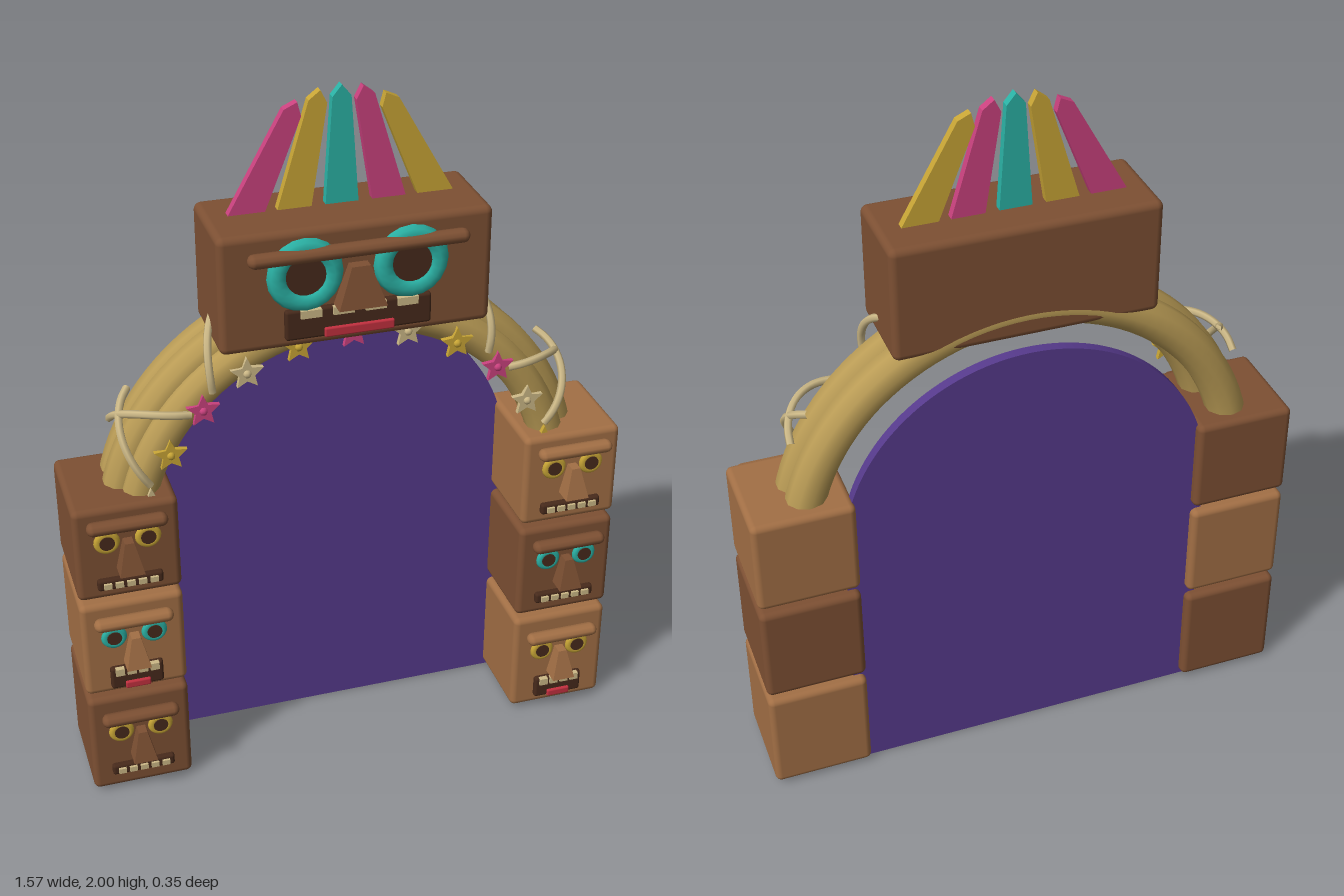
import * as THREE from 'three';
import { RoundedBoxGeometry } from 'three/addons/geometries/RoundedBoxGeometry.js';

const mat = (name, color) => new THREE.MeshStandardMaterial({ name, color });

export function createModel() {
  const M = {
    dark: mat('darkWood', 0x7d5033),
    light: mat('lightWood', 0xa26f45),
    hollow: mat('hollowBrown', 0x472a1b),
    teal: mat('teal', 0x2bb3a6),
    yellow: mat('yellow', 0xc9a636),
    pink: mat('pink', 0xcb427f),
    purple: mat('purple', 0x563a8c),
    vine: mat('vine', 0xb99b55),
    bone: mat('bone', 0xcdb987),
    red: mat('red', 0xc2303f),
  };
  const root = new THREE.Group();
  root.name = 'totemGate';

  const add = (parent, name, geo, material, x = 0, y = 0, z = 0) => {
    const m = new THREE.Mesh(geo, material);
    m.name = name;
    m.position.set(x, y, z);
    parent.add(m);
    return m;
  };
  const rbox = (w, h, d, r) => new RoundedBoxGeometry(w, h, d, 3, r);
  const extrude = (shape, depth, curveSegments = 12) =>
    new THREE.ExtrudeGeometry(shape, { depth, bevelEnabled: false, curveSegments });

  // Rounded bar lying along x
  const bar = (len, r) => new THREE.CapsuleGeometry(r, len - 2 * r, 4, 10).rotateZ(Math.PI / 2);

  // Wedge nose: narrow and shallow at the top, wide and deep at the bottom
  const noseGeo = (topW, botW, h, depth) => {
    const g = new THREE.BoxGeometry(1, h, 1);
    const p = g.attributes.position;
    for (let i = 0; i < p.count; i++) {
      const top = p.getY(i) > 0;
      p.setX(i, p.getX(i) * (top ? topW : botW));
      p.setZ(i, p.getZ(i) > 0 ? depth * (top ? 0.6 : 1) : -0.01);
    }
    const flat = g.toNonIndexed();
    flat.computeVertexNormals();
    return flat;
  };

  // Ring eye with a dark pupil
  const eye = (parent, x, y, z, r, tube, material) => {
    add(parent, 'eyeRing', new THREE.TorusGeometry(r - tube, tube, 8, 20), material, x, y, z).scale.z = 0.75;
    const pupil = new THREE.CylinderGeometry(r * 0.58, r * 0.58, 0.012, 16).rotateX(Math.PI / 2);
    add(parent, 'pupil', pupil, M.hollow, x, y, z + 0.004);
  };

  // Mouth with a row of upper teeth, and a tongue when open
  const mouth = (parent, y, z, w, h, teeth, toothW, toothH, open) => {
    add(parent, 'mouth', rbox(w, h, 0.03, 0.008), M.hollow, 0, y, z);
    const pitch = (w * 0.88) / teeth;
    for (let i = 0; i < teeth; i++) {
      add(parent, 'tooth', new THREE.BoxGeometry(toothW, toothH, 0.015), M.bone,
        (i - (teeth - 1) / 2) * pitch, y + (open ? h / 2 - toothH / 2 : 0), z + 0.015);
    }
    if (open) {
      add(parent, 'tongue', rbox(w * 0.48, h * 0.32, 0.02, 0.005), M.red, 0, y - h * 0.33, z + 0.013);
    }
  };

  // One carved block of a pillar
  const block = (x, y, h, wood, eyes, open) => {
    const g = new THREE.Group();
    g.name = 'totemBlock';
    g.position.set(x, y, 0);
    root.add(g);
    add(g, 'blockBody', rbox(0.287, h, 0.297, 0.018), wood, 0, 0, -0.027);
    add(g, 'brow', bar(0.22, 0.018), wood, 0, 0.098, 0.14).scale.z = 1.3;
    for (const s of [-1, 1]) eye(g, s * 0.056, 0.042, 0.125, 0.036, 0.012, eyes);
    add(g, 'nose', noseGeo(0.025, 0.068, 0.09, 0.055), wood, 0, 0.0, 0.122);
    if (open) mouth(g, -0.094, 0.122, 0.148, 0.07, 4, 0.025, 0.022, true);
    else mouth(g, -0.09, 0.122, 0.18, 0.034, 5, 0.022, 0.016, false);
  };

  // Pillars: [y, height, wood, eyes, open mouth]
  block(-0.64, 0.812, 0.285, M.dark, M.yellow, false);
  block(-0.64, 0.5, 0.3, M.light, M.teal, true);
  block(-0.64, 0.17, 0.32, M.dark, M.yellow, false);
  block(0.64, 0.812, 0.285, M.light, M.yellow, false);
  block(0.64, 0.5, 0.3, M.dark, M.teal, false);
  block(0.64, 0.17, 0.32, M.light, M.yellow, true);

  // Portal panel with a round top
  const CY = 0.78;
  const panel = new THREE.Shape();
  panel.moveTo(-0.53, 0);
  panel.lineTo(0.53, 0);
  panel.lineTo(0.53, CY);
  panel.absarc(0, CY, 0.53, 0, Math.PI, false);
  panel.closePath();
  add(root, 'portalPanel', extrude(panel, 0.03, 40), M.purple, 0, 0, -0.148);

  // Arch of three bundled vines
  const arcTube = (r, z, tube, a0 = 0.1) => {
    const pts = [];
    for (let i = 0; i <= 24; i++) {
      const a = a0 + (Math.PI - 2 * a0) * (i / 24);
      pts.push(new THREE.Vector3(Math.cos(a) * r, CY + Math.sin(a) * r, z));
    }
    return new THREE.TubeGeometry(new THREE.CatmullRomCurve3(pts), 48, tube, 10);
  };
  add(root, 'archVineBack', arcTube(0.635, -0.088, 0.055), M.vine);
  add(root, 'archVineMiddle', arcTube(0.645, -0.015, 0.052), M.vine);
  add(root, 'archVineFront', arcTube(0.605, 0.036, 0.05), M.vine);

  // Thin tendrils wrapping the outside of the arch
  const deg = Math.PI / 180;
  for (const s of [-1, 1]) {
    for (const [start, sweep] of [[20, 16], [42, -14], [50, 14]]) {
      const pts = [];
      for (let i = 0; i <= 8; i++) {
        const t = i / 8;
        const a = (start + sweep * t) * deg;
        const phi = (105 - 130 * t) * deg;
        const r = 0.625 + 0.105 * Math.cos(phi);
        pts.push(new THREE.Vector3(s * Math.cos(a) * r, CY + Math.sin(a) * r, -0.02 + 0.11 * Math.sin(phi)));
      }
      add(root, 'tendril', new THREE.TubeGeometry(new THREE.CatmullRomCurve3(pts), 20, 0.011, 6), M.bone);
    }
  }

  // Garland of stars along the front of the arch
  const star = new THREE.Shape();
  for (let i = 0; i < 10; i++) {
    const a = Math.PI / 2 + (i * Math.PI) / 5;
    const r = i % 2 ? 0.022 : 0.047;
    star[i ? 'lineTo' : 'moveTo'](Math.cos(a) * r, Math.sin(a) * r);
  }
  star.closePath();
  const starGeo = extrude(star, 0.014);
  const starMats = [M.yellow, M.bone, M.pink];
  for (let i = 0; i < 11; i++) {
    const a = (15 + 15 * i) * deg;
    const x = Math.cos(a) * 0.582, y = CY + Math.sin(a) * 0.578;
    add(root, 'star', starGeo, starMats[i % 3], x, y, 0.08);
    add(root, 'starCentre', new THREE.SphereGeometry(0.012, 8, 6), starMats[i % 3], x, y, 0.092);
  }

  // Large head over the arch
  const head = new THREE.Group();
  head.name = 'headBlock';
  root.add(head);
  add(head, 'headBody', rbox(0.735, 0.328, 0.265, 0.02), M.dark, 0, 1.519, -0.008);
  add(head, 'headBrow', bar(0.59, 0.019), M.dark, 0, 1.622, 0.143).scale.z = 1.2;
  for (const s of [-1, 1]) eye(head, s * 0.142, 1.562, 0.13, 0.102, 0.027, M.teal);
  add(head, 'headNose', noseGeo(0.05, 0.13, 0.11, 0.055), M.dark, 0, 1.522, 0.122);
  mouth(head, 1.425, 0.125, 0.395, 0.085, 4, 0.056, 0.022, true);

  // Feather crest
  const feather = new THREE.Shape();
  [[-0.046, 0], [0.046, 0], [0.025, 0.31], [0, 0.34], [-0.025, 0.31]].forEach(([x, y], i) =>
    feather[i ? 'lineTo' : 'moveTo'](x, y));
  feather.closePath();
  const featherGeo = extrude(feather, 0.024);
  [M.pink, M.yellow, M.teal, M.pink, M.yellow].forEach((material, i) => {
    const x = (i - 2) * 0.132;
    add(head, 'feather', featherGeo, material, x, 1.66, -0.037).rotation.z = x * 1.7;
  });

  return root;
}
